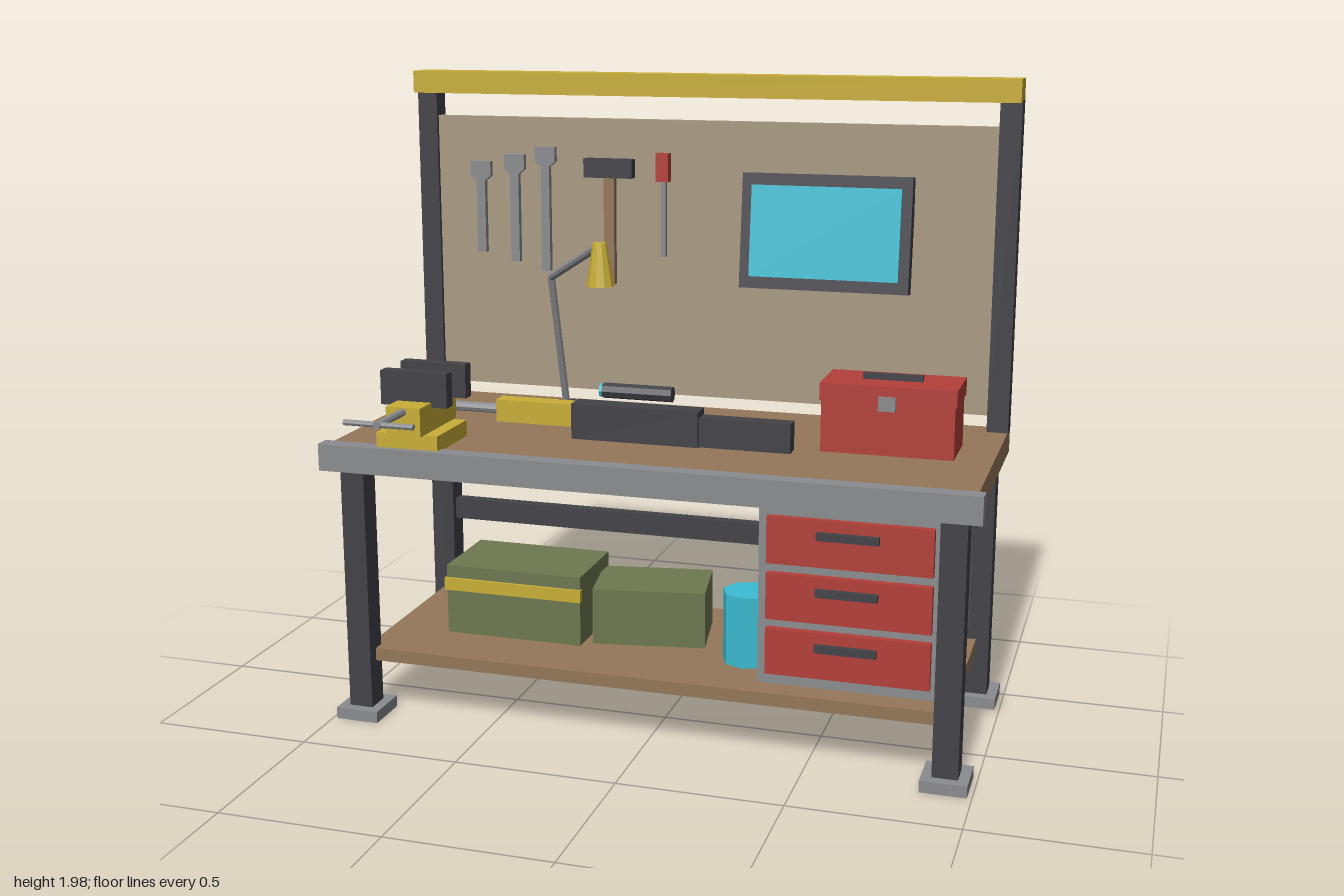
import * as THREE from 'three';

const paint = (name, color) => {
  const m = new THREE.MeshStandardMaterial({ color });
  m.name = name;
  return m;
};

export function createModel() {
  const model = new THREE.Group();
  model.name = 'workbench';
  const dark = paint('dark steel', 0x434248);
  const steel = paint('grey steel', 0x8b8c8f);
  const wood = paint('wood', 0x94775a);
  const yellow = paint('yellow', 0xc9af38);
  const red = paint('red', 0xb4403a);
  const cyan = paint('cyan', 0x3cbdd3);
  const olive = paint('olive', 0x6e7950);
  const board = paint('pegboard', 0xa99b84);

  const group = (name) => {
    const g = new THREE.Group();
    g.name = name;
    model.add(g);
    return g;
  };
  const add = (parent, name, geo, mat) => {
    const m = new THREE.Mesh(geo, mat);
    m.name = name;
    parent.add(m);
    return m;
  };
  // Box given by its limits on each axis
  const box = (parent, name, mat, x0, x1, y0, y1, z0, z1) => {
    const m = add(parent, name, new THREE.BoxGeometry(x1 - x0, y1 - y0, z1 - z0), mat);
    m.position.set((x0 + x1) / 2, (y0 + y1) / 2, (z0 + z1) / 2);
    return m;
  };
  // Faceted rod between two points, r0 at the start and r1 at the end
  const rod = (parent, name, mat, a, b, r0, r1 = r0, sides = 8) => {
    const p = new THREE.Vector3(...a), q = new THREE.Vector3(...b);
    const d = q.clone().sub(p);
    const geo = new THREE.CylinderGeometry(r1, r0, d.length(), sides).toNonIndexed();
    geo.computeVertexNormals();
    const m = add(parent, name, geo, mat);
    m.position.copy(p).add(q).multiplyScalar(0.5);
    m.quaternion.setFromUnitVectors(new THREE.Vector3(0, 1, 0), d.normalize());
    return m;
  };

  // Bench frame
  const frame = group('frame');
  box(frame, 'tabletop', wood, -0.98, 0.98, 0.815, 0.89, -0.505, 0.275);
  box(frame, 'frontEdge', steel, -1, 1, 0.812, 0.895, 0.272, 0.325);
  box(frame, 'lowerShelf', wood, -0.915, 0.915, 0.18, 0.22, -0.43, 0.235);
  box(frame, 'rearRail', dark, -0.9, 0.9, 0.46, 0.53, -0.455, -0.415);
  for (const s of [-1, 1]) {
    for (const z of [0.235, -0.43]) {
      const x = s * 0.917;
      box(frame, 'leg', dark, x - 0.038, x + 0.038, 0, 0.815, z - 0.039, z + 0.039);
      box(frame, 'foot', steel, x - 0.069, x + 0.069, 0.001, 0.037, z - 0.072, z + 0.072);
    }
    const x = s * 0.948;
    box(frame, 'backPost', dark, x - 0.033, x + 0.033, 0.89, 1.91, -0.5, -0.433);
  }
  box(frame, 'topBeam', yellow, -0.98, 0.98, 1.905, 1.975, -0.505, -0.398);
  box(frame, 'pegboard', board, -0.916, 0.916, 0.94, 1.83, -0.475, -0.445);

  // Drawer cabinet
  const cabinet = group('drawerCabinet');
  box(cabinet, 'cabinetBody', steel, 0.355, 0.89, 0.257, 0.79, -0.41, 0.245);
  for (const y of [0.701, 0.532, 0.364]) {
    box(cabinet, 'drawer', red, 0.382, 0.863, y - 0.07, y + 0.07, 0.24, 0.267);
    box(cabinet, 'drawerHandle', dark, 0.53, 0.71, y + 0.015, y + 0.037, 0.265, 0.285);
  }

  // Storage on the lower shelf
  const storage = group('shelfStorage');
  box(storage, 'strappedCrate', olive, -0.72, -0.27, 0.22, 0.445, -0.25, 0.03);
  box(storage, 'crateStrap', yellow, -0.725, -0.267, 0.365, 0.405, 0.02, 0.04);
  box(storage, 'turnedCrate', olive, -0.263, 0.093, 0.22, 0.4, -0.27, -0.03).rotation.y = 0.17;
  rod(storage, 'canister', cyan, [0.265, 0.22, -0.01], [0.265, 0.445, -0.01], 0.081);

  // Vise
  const vise = group('vise');
  box(vise, 'viseBase', yellow, -0.815, -0.617, 0.89, 0.94, 0.08, 0.303);
  box(vise, 'viseBody', yellow, -0.77, -0.66, 0.94, 1.027, 0.06, 0.325);
  for (const z of [0.077, 0.22]) box(vise, 'jaw', dark, -0.825, -0.61, 1.012, 1.117, z - 0.021, z + 0.021);
  rod(vise, 'screw', steel, [-0.716, 1.013, 0.3], [-0.716, 1.013, 0.5], 0.012);
  rod(vise, 'turnBar', steel, [-0.825, 1.013, 0.487], [-0.605, 1.013, 0.487], 0.009);

  // Long device lying along the bench
  const device = group('benchDevice');
  rod(device, 'barrel', steel, [-0.78, 0.96, -0.016], [-0.54, 0.96, -0.016], 0.016);
  box(device, 'foregrip', yellow, -0.545, -0.29, 0.925, 0.995, -0.045, 0.013);
  box(device, 'receiver', dark, -0.295, 0.108, 0.89, 1.0, -0.05, 0.022);
  box(device, 'stock', dark, 0.105, 0.39, 0.89, 0.98, -0.043, 0.011);
  box(device, 'magazine', steel, -0.18, -0.114, 0.787, 0.95, -0.037, 0.008).rotation.z = 0.24;
  box(device, 'grip', dark, 0.01, 0.065, 0.81, 0.93, -0.036, 0.004).rotation.z = 0.25;
  rod(device, 'sight', dark, [-0.2, 1.042, -0.012], [0.02, 1.042, -0.012], 0.024);
  rod(device, 'lens', cyan, [-0.21, 1.042, -0.012], [-0.2, 1.042, -0.012], 0.021);

  // Toolbox
  const toolbox = group('toolbox');
  box(toolbox, 'toolboxBody', red, 0.468, 0.866, 0.89, 1.05, -0.243, -0.05);
  box(toolbox, 'toolboxLid', red, 0.463, 0.871, 1.048, 1.1, -0.25, -0.046);
  box(toolbox, 'toolboxLatch', steel, 0.64, 0.692, 1.027, 1.07, -0.06, -0.037);
  box(toolbox, 'toolboxHandle', dark, 0.575, 0.755, 1.1, 1.117, -0.163, -0.139);

  // Loose bolts on the tabletop
  const bolts = group('bolts');
  for (const [x, z] of [[0.217, -0.195], [0.282, -0.15], [0.243, -0.088]]) {
    rod(bolts, 'bolt', steel, [x, 0.89, z], [x, 0.935, z], 0.011);
  }

  // Desk lamp
  const lamp = group('lamp');
  const elbow = [-0.45, 1.345, -0.237], head = [-0.23, 1.475, -0.057];
  rod(lamp, 'lampBase', dark, [-0.45, 0.89, -0.365], [-0.45, 0.907, -0.365], 0.062, 0.06, 12);
  rod(lamp, 'lowerArm', steel, [-0.45, 0.9, -0.365], elbow, 0.0125);
  rod(lamp, 'upperArm', steel, elbow, head, 0.0125);
  rod(lamp, 'lampShade', yellow, [-0.224, 1.355, -0.058], [-0.226, 1.487, -0.058], 0.043, 0.021, 10);

  // Tilted screen
  const screen = group('screen');
  box(screen, 'screenFrame', dark, -0.268, 0.268, -0.18, 0.18, -0.025, 0.025);
  box(screen, 'display', cyan, -0.236, 0.236, -0.143, 0.143, 0.024, 0.034);
  screen.position.set(0.398, 1.495, -0.413);
  screen.rotation.x = -0.11;

  // Wrenches hung on the board
  const tools = group('hangingTools');
  for (const [x, y0, y1] of [[-0.763, 1.387, 1.685], [-0.645, 1.36, 1.71], [-0.538, 1.333, 1.737]]) {
    const h = y1 - 0.055;
    const half = [[0.015, y0], [0.015, h - 0.008], [0.035, h + 0.008], [0.035, y1]];
    const pts = [...half, ...half.map(([a, b]) => [-a, b]).reverse()];
    const shape = new THREE.Shape(pts.map(([a, b]) => new THREE.Vector2(a, b)));
    const geo = new THREE.ExtrudeGeometry(shape, { depth: 0.022, bevelEnabled: false });
    add(tools, 'wrench', geo, steel).position.set(x, 0, -0.447);
  }

  // Hammer and screwdriver
  box(tools, 'hammerHandle', wood, -0.335, -0.3, 1.3, 1.66, -0.447, -0.42);
  box(tools, 'hammerHead', dark, -0.398, -0.236, 1.645, 1.705, -0.447, -0.405);
  box(tools, 'screwdriverHandle', red, -0.157, -0.116, 1.637, 1.727, -0.447, -0.412);
  box(tools, 'screwdriverBlade', steel, -0.145, -0.128, 1.396, 1.64, -0.44, -0.423);

  return model;
}
